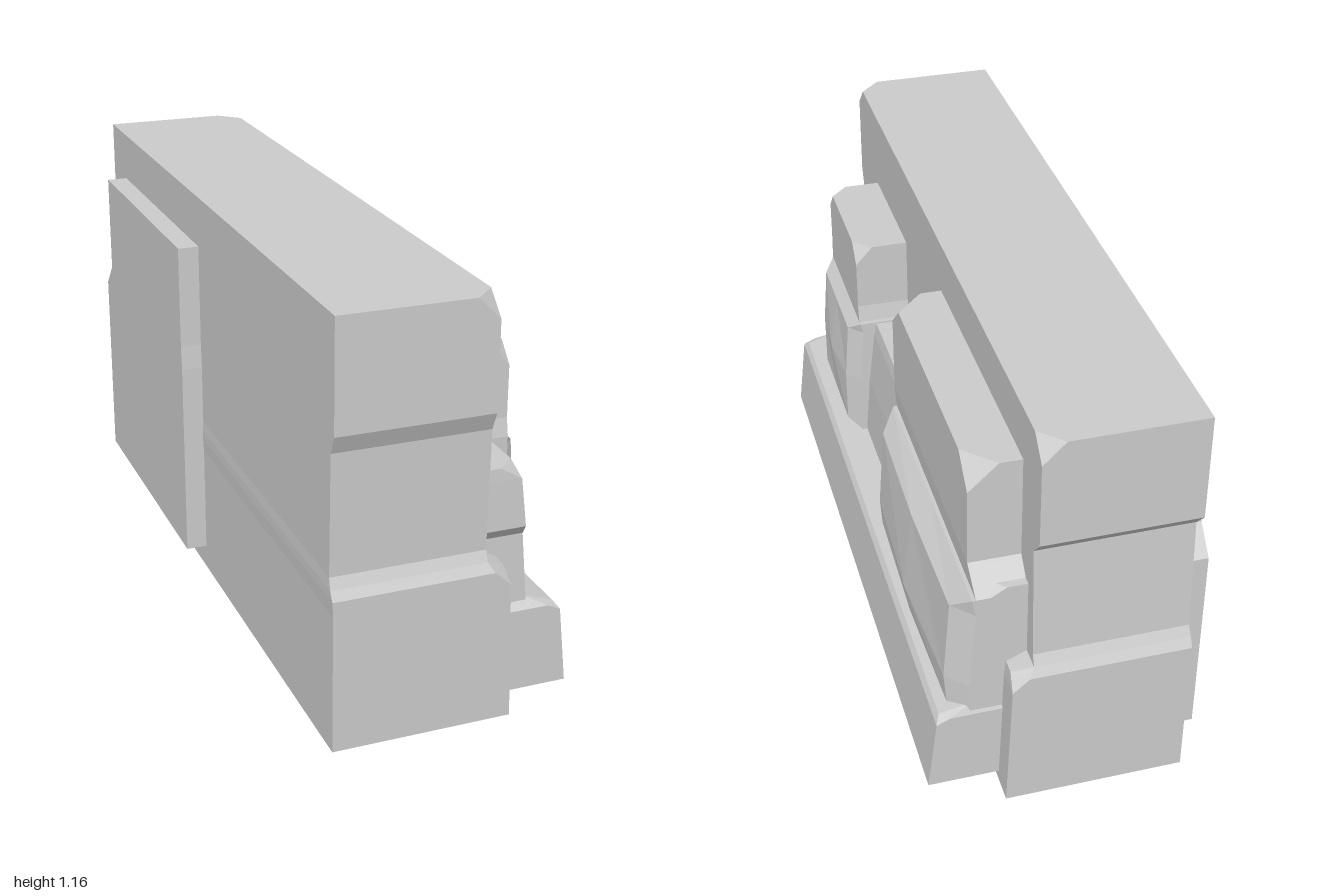
import * as THREE from 'three';

const material = new THREE.MeshStandardMaterial({ color: 0xcccccc, flatShading: true });

// One horizontal slice: cut corners (c) and a slight bulge (b) on the +x face
function slice([y, x0, x1, z0, z1, c = 0, b = 0]) {
  return [
    [x0, z0], [x1 - c, z0], [x1, z0 + c], [x1 + b, (z0 + z1) / 2],
    [x1, z1 - c], [x1 - c, z1], [x0, z1],
  ].map(([x, z]) => [x, y, z]);
}

// A stone built by joining slices from bottom to top, with flat caps
function stone(name, levels) {
  const rings = levels.map(slice);
  const n = rings[0].length;
  const out = [];
  const tri = (...pts) => pts.forEach((p) => out.push(...p));
  for (let k = 0; k < rings.length - 1; k++) {
    const low = rings[k], high = rings[k + 1];
    for (let i = 0; i < n; i++) {
      const j = (i + 1) % n;
      tri(low[i], high[i], high[j]);
      tri(low[i], high[j], low[j]);
    }
  }
  const bottom = rings[0], top = rings[rings.length - 1];
  for (let i = 1; i < n - 1; i++) {
    tri(bottom[0], bottom[i], bottom[i + 1]);
    tri(top[0], top[i + 1], top[i]);
  }
  const geometry = new THREE.BufferGeometry();
  geometry.setAttribute('position', new THREE.Float32BufferAttribute(out, 3));
  geometry.computeVertexNormals();
  const mesh = new THREE.Mesh(geometry, material);
  mesh.name = name;
  return mesh;
}

export function createModel() {
  const group = new THREE.Group();
  group.name = 'rockWall';

  // Levels are [y, xMin, xMax, zMin, zMax, cornerCut, bulge]
  group.add(
    // Main wall with a wider foot and recessed ends
    stone('mainWall', [
      [0, -0.315, 0.178, -1, 1],
      [0.385, -0.315, 0.165, -1, 1],
      [0.425, -0.317, 0.16, -1, 1, 0.04],
      [0.45, -0.317, 0.105, -0.985, 0.985],
      [0.48, -0.315, 0.105, -0.97, 0.972],
      [0.81, -0.315, 0.105, -0.955, 0.978],
      [0.86, -0.315, 0.105, -1, 1],
      [1.1, -0.315, 0.105, -1, 1],
      [1.16, -0.315, 0.105, -1, 1, 0.06],
    ]),
    // Tall slab running through the wall
    stone('tallSlab', [
      [0.07, -0.375, 0.24, -0.92, -0.055],
      [0.65, -0.375, 0.24, -0.92, -0.055],
      [0.72, -0.375, 0.245, -0.855, -0.06],
      [0.94, -0.375, 0.245, -0.855, -0.06],
      [1.015, -0.375, 0.245, -0.855, -0.06, 0.08],
    ]),
    // Short pillar
    stone('shortPillar', [
      [0.2, 0, 0.26, 0.345, 0.765],
      [0.68, 0, 0.26, 0.355, 0.765],
      [0.73, 0, 0.26, 0.365, 0.755],
      [0.875, 0, 0.26, 0.365, 0.755],
      [0.93, 0, 0.26, 0.365, 0.755, 0.05],
    ]),
    // Long middle course leaning back
    stone('middleCourse', [
      [0.2, 0, 0.26, -0.92, 0.92],
      [0.475, 0, 0.238, -0.92, 0.912],
      [0.505, 0, 0.234, -0.92, 0.935],
      [0.64, 0, 0.218, -0.92, 0.932],
      [0.675, 0, 0.21, -0.92, 0.93, 0.05],
    ]),
    // Bevelled facing stones
    stone('smallFacingStone', [
      [0.285, 0.1, 0.265, 0.34, 0.76],
      [0.315, 0.1, 0.305, 0.34, 0.76, 0.04],
      [0.48, 0.1, 0.305, 0.34, 0.76, 0.04, 0.012],
      [0.65, 0.1, 0.292, 0.34, 0.76, 0.04],
      [0.68, 0.1, 0.26, 0.34, 0.76],
    ]),
    stone('largeFacingStone', [
      [0.265, 0.1, 0.305, -0.92, -0.06, 0.05, 0.01],
      [0.36, 0.1, 0.312, -0.92, -0.06, 0.055, 0.018],
      [0.6, 0.1, 0.295, -0.92, -0.06, 0.055, 0.008],
      [0.65, 0.1, 0.25, -0.92, -0.06],
    ]),
    // Sloping ledge along the foot
    stone('baseLedge', [
      [0.028, 0.05, 0.372, -0.925, 0.935],
      [0.245, 0.05, 0.347, -0.925, 0.935],
      [0.262, 0.05, 0.335, -0.925, 0.935, 0.025],
      [0.29, 0.05, 0.25, -0.91, 0.91],
    ]),
  );
  return group;
}
